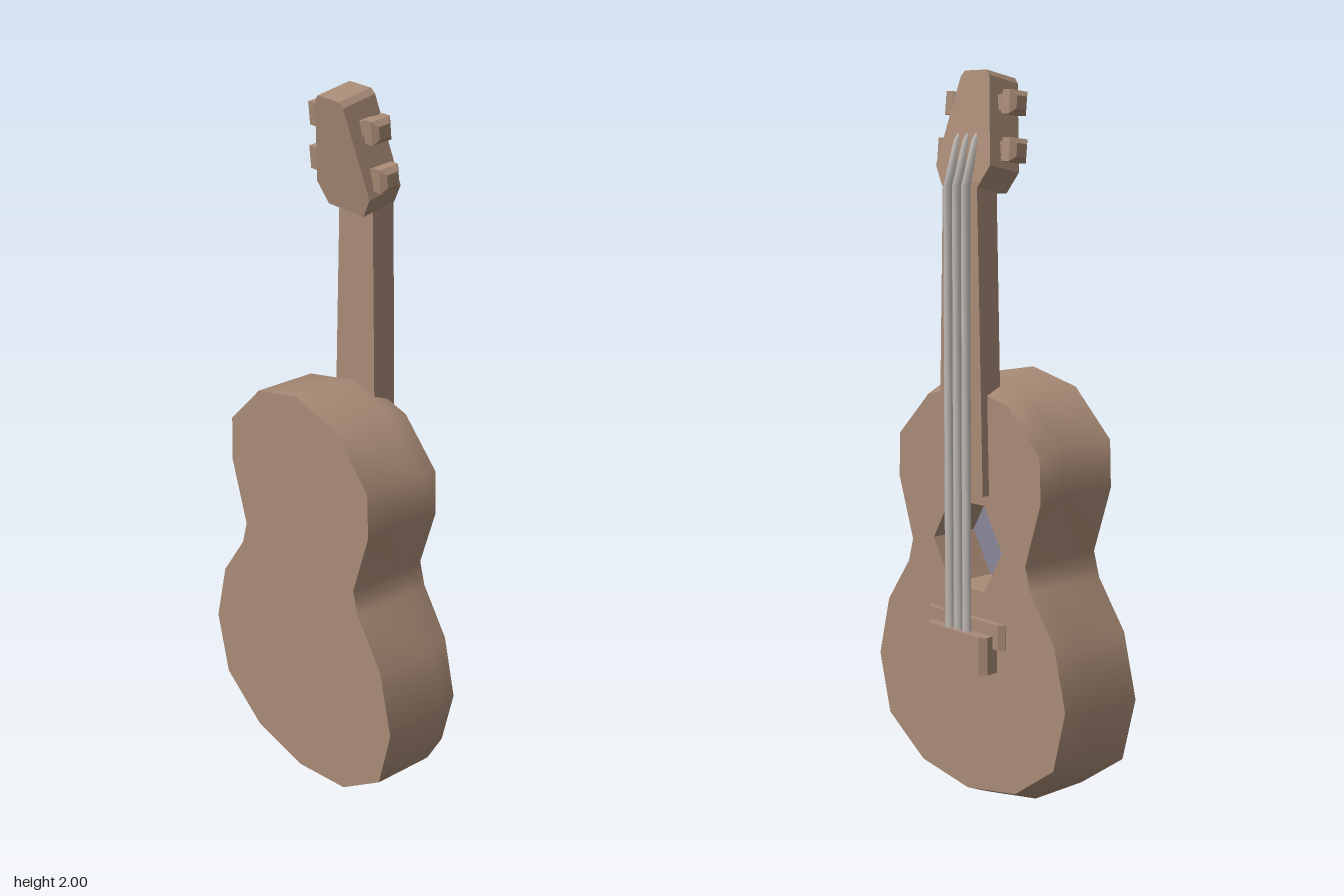
import * as THREE from 'three';

const wood = new THREE.MeshStandardMaterial({ color: 0xa98b76 });
wood.name = 'wood';
const steel = new THREE.MeshStandardMaterial({ color: 0xc0bab5 });
steel.name = 'string grey';
const hollow = new THREE.MeshStandardMaterial({ color: 0x8a8799 });
hollow.name = 'hollow blue grey';

const FACE_Z = -0.1, BACK_Z = 0.15, TILT = 0.19;
const HOLE = { y: 0.73, r: 0.138, floorZ: 0.05 };

// Right half of an outline, mirrored into a closed counter-clockwise loop
function mirrored(half) {
  const other = half.filter(p => p[0] > 0).map(([x, y]) => [-x, y]).reverse();
  return [...half, ...other].map(([x, y]) => new THREE.Vector2(x, y));
}

function extrude(half, depth) {
  return new THREE.ExtrudeGeometry(new THREE.Shape(mirrored(half)), { depth, bevelEnabled: false });
}

function flat(geometry) {
  const g = geometry.toNonIndexed();
  g.computeVertexNormals();
  return g;
}

function hexagon() {
  return Array.from({ length: 6 }, (_, i) => new THREE.Vector2(
    HOLE.r * Math.cos(i * Math.PI / 3), HOLE.y + HOLE.r * Math.sin(i * Math.PI / 3)));
}

// Smooth strip of side wall joining rings of the same outline
function wallGeometry(rings) {
  const n = rings[0].pts.length, pos = [], idx = [];
  for (const { pts, z } of rings) for (const p of pts) pos.push(p.x, p.y, z);
  for (let r = 0; r < rings.length - 1; r++) {
    for (let i = 0; i < n; i++) {
      const a = r * n + i, b = r * n + (i + 1) % n;
      idx.push(a, b, a + n, b, b + n, a + n);
    }
  }
  const g = new THREE.BufferGeometry();
  g.setAttribute('position', new THREE.Float32BufferAttribute(pos, 3));
  g.setIndex(idx);
  g.computeVertexNormals();
  return g;
}

export function createModel() {
  const root = new THREE.Group();
  root.name = 'guitar';
  const add = (name, geometry, material = wood, parent = root) => {
    const mesh = new THREE.Mesh(geometry, material);
    mesh.name = name;
    parent.add(mesh);
    return mesh;
  };

  // Body: straight sides, then a slight taper to the sound board
  const body = new THREE.Group();
  body.name = 'body';
  root.add(body);
  const outline = mirrored([
    [0, 0.005], [0.2, 0.04], [0.355, 0.15], [0.4, 0.33], [0.355, 0.51], [0.26, 0.645],
    [0.24, 0.715], [0.3, 0.9], [0.295, 1.03], [0.165, 1.16], [0, 1.2],
  ]);
  const inset = outline.map(p => new THREE.Vector2(p.x * 0.95, 0.6 + (p.y - 0.6) * 0.95));
  add('bodySides', wallGeometry([
    { pts: inset, z: FACE_Z }, { pts: outline, z: -0.03 }, { pts: outline, z: BACK_Z },
  ].reverse()), wood, body).geometry.index.array.reverse();
  body.children[0].geometry.computeVertexNormals();
  add('backBoard', new THREE.ShapeGeometry(new THREE.Shape(outline)).translate(0, 0, BACK_Z), wood, body);
  const board = new THREE.Shape(inset);
  board.holes.push(new THREE.Path(hexagon()));
  add('soundBoard', new THREE.ShapeGeometry(board).rotateY(Math.PI).translate(0, 0, FACE_Z), wood, body);

  // Sound hole: inward-facing wall and a floor
  const tube = new THREE.LatheGeometry(
    [new THREE.Vector2(HOLE.r, HOLE.floorZ), new THREE.Vector2(HOLE.r, FACE_Z)], 6, Math.PI / 2);
  add('soundHoleWall', flat(tube.rotateX(Math.PI / 2).translate(0, HOLE.y, 0)), wood, body);
  add('soundHoleFloor', new THREE.ShapeGeometry(new THREE.Shape(hexagon()))
    .rotateY(Math.PI).translate(0, 0, HOLE.floorZ), hollow, body);

  // Neck, tapering upward
  add('neck', extrude([[0.088, 0.88], [0.067, 1.71]], 0.07).translate(0, 0, -0.123));

  // Headstock, leaning back from the strings
  const head = add('headstock', extrude(
    [[0.07, 0], [0.106, 0.056], [0.055, 0.292], [0.042, 0.306]], 0.105).translate(0, 0, -0.105));
  head.position.set(0, 1.68, -0.02);
  head.rotation.x = TILT;

  // Tuning pegs: square knobs with tapered ends
  const pegProfile = [[0, -0.08], [0.018, -0.08], [0.021, -0.055], [0.031, -0.04], [0.031, -0.013], [0.017, 0], [0, 0]]
    .map(([half, t]) => new THREE.Vector2(half * Math.SQRT2, t));
  for (const side of [1, -1]) {
    for (const [x, y, z] of [[0.137, 1.915, -0.03], [0.153, 1.793, -0.045]]) {
      const knob = new THREE.LatheGeometry(pegProfile, 4, Math.PI / 4).rotateZ(-side * Math.PI / 2);
      const peg = add(side > 0 ? 'leftPeg' : 'rightPeg', flat(knob));
      peg.position.set(side * x, y, z);
      peg.rotation.x = TILT / 2;
    }
  }

  // Bridge and saddle: chamfered bars standing out from the sound board
  const bar = (name, half, y0, y1) =>
    add(name, extrude(half, y1 - y0).rotateX(-Math.PI / 2).translate(0, y0, 0));
  bar('bridge', [[0.12, 0.095], [0.12, 0.135], [0.102, 0.152]], 0.395, 0.5);
  bar('saddle', [[0.155, 0.095], [0.155, 0.102], [0.14, 0.117]], 0.465, 0.535);

  // Strings, bent back over the top of the neck
  const stringProfile = [[0.013, 0.47], [0.013, 1.7], [0.011, 1.82], [0, 1.85]]
    .map(([r, y]) => new THREE.Vector2(r, y));
  for (const x of [-0.035, 0, 0.035]) {
    const g = new THREE.LatheGeometry(stringProfile, 6);
    const p = g.attributes.position;
    for (let i = 0; i < p.count; i++) {
      p.setZ(i, p.getZ(i) - 0.134 + Math.max(0, p.getY(i) - 1.7) * 0.3);
    }
    g.computeVertexNormals();
    add('string', g.translate(x, 0, 0), steel);
  }
  return root;
}
